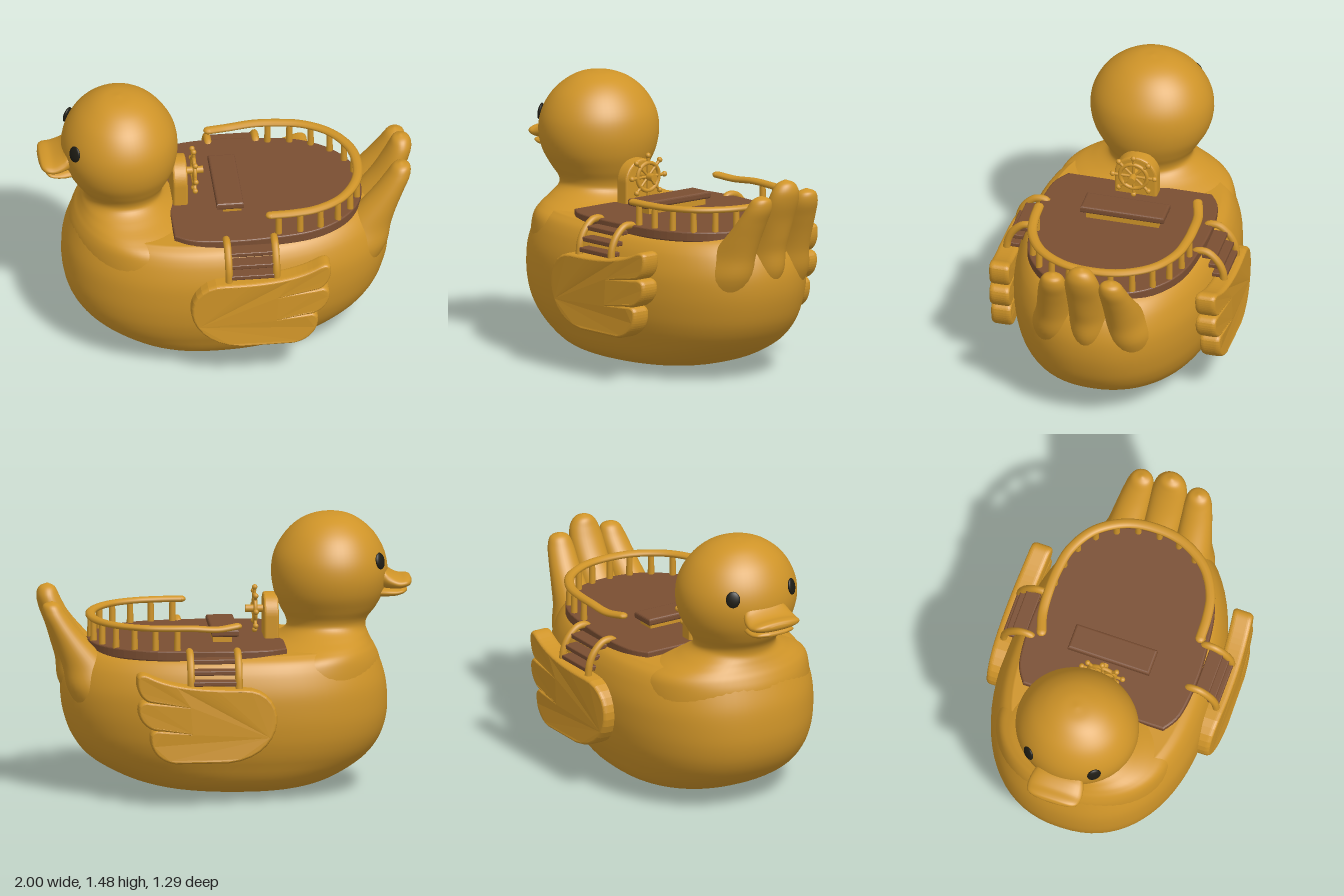
import * as THREE from 'three';

const mat = (name, color) => Object.assign(new THREE.MeshStandardMaterial({ color }), { name });
const V = (x, y, z) => new THREE.Vector3(x, y, z);

// Smooth closed loft; rings are [y, xMin, xMax, zRadius, zCentre] in rising y
function loft(rings, { n = 2, mid = 0.5, seg = 56, sub = 5 } = {}) {
  const a = new THREE.CatmullRomCurve3(rings.map(r => V(r[0], r[1], r[2])));
  const b = new THREE.CatmullRomCurve3(rings.map(r => V(r[3], r[4] || 0, 0)), false, 'catmullrom', 0.5);
  const rows = (rings.length - 1) * sub, pos = [], idx = [];
  const pw = v => Math.sign(v) * Math.pow(Math.abs(v), 2 / n);
  for (let i = 0; i <= rows; i++) {
    const p = a.getPoint(i / rows), q = b.getPoint(i / rows);
    const cx = p.y + (p.z - p.y) * mid;
    for (let j = 0; j < seg; j++) {
      const t = (j / seg) * Math.PI * 2, c = pw(Math.cos(t));
      pos.push(cx + c * (c > 0 ? p.z - cx : cx - p.y), p.x, q.y + pw(Math.sin(t)) * Math.max(q.x, 0.002));
    }
  }
  for (let i = 0; i < rows; i++) for (let j = 0; j < seg; j++) {
    const k = (j + 1) % seg, p = i * seg + j, q = i * seg + k;
    idx.push(p, p + seg, q, q, p + seg, q + seg);
  }
  // end caps
  for (const [row, up] of [[0, false], [rows, true]]) {
    const r = rings[up ? rings.length - 1 : 0], c = pos.length / 3;
    pos.push(r[1] + (r[2] - r[1]) * mid, r[0], r[4] || 0);
    for (let j = 0; j < seg; j++) {
      const p = row * seg + j, q = row * seg + (j + 1) % seg;
      idx.push(...(up ? [c, q, p] : [c, p, q]));
    }
  }
  const g = new THREE.BufferGeometry();
  g.setAttribute('position', new THREE.Float32BufferAttribute(pos, 3));
  g.setIndex(idx);
  g.computeVertexNormals();
  return g;
}

export function createModel() {
  const model = new THREE.Group();
  const gold = mat('gold', 0xcf9428), brown = mat('brown', 0x7a4e32), black = mat('black', 0x1e1c14);
  const add = (name, geo, m, x = 0, y = 0, z = 0, parent = model) => {
    const mesh = new THREE.Mesh(geo, m);
    mesh.name = name;
    mesh.position.set(x, y, z);
    parent.add(mesh);
    return mesh;
  };
  // Round bar with rounded ends
  const bar = (name, pts, r, parent = model, seg = 32) => {
    const curve = new THREE.CatmullRomCurve3(pts);
    const g = new THREE.Group();
    g.name = name;
    parent.add(g);
    add(name + 'Bar', new THREE.TubeGeometry(curve, seg, r, 10), gold, 0, 0, 0, g);
    for (const p of [pts[0], pts[pts.length - 1]])
      add(name + 'End', new THREE.SphereGeometry(r, 10, 8), gold, p.x, p.y, p.z, g);
    return curve;
  };

  // Hull
  add('body', loft([
    [0.003, -0.2, 0.1, 0.1], [0.02, -0.36, 0.27, 0.24], [0.05, -0.5, 0.42, 0.36], [0.1, -0.62, 0.56, 0.445],
    [0.2, -0.765, 0.73, 0.505], [0.3, -0.835, 0.81, 0.545], [0.4, -0.865, 0.85, 0.565], [0.5, -0.87, 0.87, 0.572],
    [0.6, -0.86, 0.868, 0.567], [0.7, -0.83, 0.835, 0.54], [0.76, -0.805, 0.79, 0.505], [0.795, -0.77, 0.74, 0.455],
  ], { n: 2.25, mid: 0.44, seg: 72 }), gold);

  // Chest, neck and head in one smooth form
  add('headAndNeck', loft([
    [0.6, -0.84, 0.05, 0.5], [0.7, -0.83, 0.0, 0.485], [0.76, -0.808, -0.1, 0.455], [0.8, -0.785, -0.22, 0.39],
    [0.84, -0.767, -0.3, 0.3], [0.88, -0.755, -0.335, 0.235], [0.92, -0.765, -0.33, 0.228], [0.98, -0.81, -0.3, 0.262],
    [1.07, -0.855, -0.266, 0.311], [1.17, -0.874, -0.253, 0.331], [1.27, -0.858, -0.268, 0.316],
    [1.37, -0.805, -0.325, 0.26], [1.44, -0.73, -0.4, 0.178], [1.475, -0.66, -0.48, 0.095], [1.486, -0.58, -0.56, 0.01],
  ], { seg: 64 }), gold);

  // Bill halves, lofted outwards from the face
  const bill = (name, rings) => add(name, loft(rings, { seg: 32, n: 2.2 }).rotateZ(Math.PI / 2), gold);
  bill('upperBill', [[0.78, 1.07, 1.24, 0.1], [0.84, 1.075, 1.215, 0.13], [0.88, 1.075, 1.175, 0.145],
    [0.93, 1.075, 1.147, 0.15], [0.97, 1.085, 1.145, 0.14], [0.99, 1.095, 1.14, 0.11], [1.0, 1.11, 1.125, 0.05]]);
  bill('lowerBill', [[0.78, 1.03, 1.09, 0.1], [0.86, 1.032, 1.09, 0.125], [0.92, 1.038, 1.085, 0.125],
    [0.955, 1.05, 1.085, 0.11], [0.975, 1.06, 1.075, 0.05]]);

  // Eyes lie flat on the head
  for (const s of [1, -1]) {
    const eye = add('eye', new THREE.SphereGeometry(0.045, 20, 14).scale(0.85, 1, 0.3), black, -0.822, 1.25, s * 0.185);
    eye.lookAt(-0.822 - 0.25, 1.25 + 0.06, s * 0.37);
  }

  // Tail feathers
  const feather = (rings) => add('tailFeather', loft(rings, { seg: 32 }), gold);
  feather([[0.45, 0.5, 0.8, 0.08], [0.6, 0.55, 0.885, 0.11], [0.72, 0.64, 0.9, 0.105], [0.8, 0.71, 0.923, 0.1],
    [0.9, 0.79, 0.953, 0.098], [1.0, 0.85, 0.99, 0.094], [1.06, 0.88, 1.0, 0.08], [1.1, 0.9, 0.987, 0.052], [1.12, 0.935, 0.95, 0.008]]);
  for (const s of [1, -1]) feather([
    [0.4, 0.4, 0.74, 0.12, 0.2 * s], [0.58, 0.5, 0.845, 0.13, 0.2 * s], [0.7, 0.6, 0.872, 0.105, 0.19 * s],
    [0.8, 0.7, 0.905, 0.092, 0.182 * s], [0.9, 0.79, 0.945, 0.082, 0.172 * s], [0.98, 0.85, 0.977, 0.072, 0.163 * s],
    [1.03, 0.885, 0.975, 0.052, 0.16 * s], [1.05, 0.92, 0.935, 0.008, 0.16 * s]]);

  // Deck
  const half = [[-0.3, 0.39], [-0.2, 0.445], [0, 0.465], [0.2, 0.455], [0.42, 0.42], [0.58, 0.33], [0.685, 0.19]];
  const rim = [...half, [0.72, 0], ...half.map(([x, z]) => [x, -z]).reverse()].map(p => new THREE.Vector2(...p));
  add('deck', new THREE.ExtrudeGeometry(new THREE.Shape(new THREE.SplineCurve(rim).getPoints(70)), {
    depth: 0.04, bevelSize: 0.01, bevelThickness: 0.008, bevelSegments: 3,
  }).rotateX(-Math.PI / 2), brown, 0, 0.778, 0);

  // Handrail and posts
  const side = [[0.2, 0.425], [0.32, 0.42], [0.45, 0.395], [0.59, 0.31], [0.685, 0.16]];
  const railPts = [V(-0.045, 0.945, -0.385), V(0.06, 0.934, -0.415), ...side.map(([x, z]) => V(x, 0.943, -z)),
    V(0.71, 0.943, 0), ...side.map(([x, z]) => V(x, 0.943, z)).reverse()];
  const railCurve = new THREE.CatmullRomCurve3(railPts);
  const flat = 0.65;
  bar('handrail', railPts.map(p => V(p.x, p.y / flat, p.z)), 0.027, model, 96);
  model.getObjectByName('handrail').scale.y = flat;
  for (let i = 0; i < 13; i++) {
    const p = railCurve.getPointAt(0.185 + (i / 12) * 0.79);
    add('railPost', new THREE.CylinderGeometry(0.016, 0.018, 0.13, 12), gold, p.x, 0.88, p.z);
  }

  // Bench
  const slab = (w, h, d, b) => {
    const s = new THREE.Shape();
    const x = w / 2 - b, y = d / 2 - b;
    s.moveTo(-x, -y).lineTo(x, -y).lineTo(x, y).lineTo(-x, y);
    return new THREE.ExtrudeGeometry(s, { depth: h - 2 * b, bevelSize: b, bevelThickness: b, bevelSegments: 3 })
      .translate(0, 0, b - h / 2).rotateX(-Math.PI / 2);
  };
  add('benchSeat', slab(0.145, 0.04, 0.46, 0.012), brown, 0.007, 0.876, 0);
  add('benchBase', slab(0.1, 0.05, 0.4, 0.008), gold, 0.02, 0.84, 0);

  // Helm stand with arched top
  const arch = new THREE.Shape();
  arch.moveTo(-0.105, 0).lineTo(0.105, 0).lineTo(0.105, 0.135).absarc(0, 0.135, 0.105, 0, Math.PI);
  add('helmStand', new THREE.ExtrudeGeometry(arch, {
    depth: 0.055, bevelSize: 0.012, bevelThickness: 0.012, bevelSegments: 3, curveSegments: 24,
  }).rotateY(Math.PI / 2), gold, -0.275, 0.805, 0);

  // Steering wheel
  const wheel = new THREE.Group();
  wheel.name = 'steeringWheel';
  wheel.position.set(-0.165, 0.968, 0);
  model.add(wheel);
  add('wheelRing', new THREE.TorusGeometry(0.075, 0.011, 10, 36).rotateY(Math.PI / 2), gold, 0, 0, 0, wheel);
  add('wheelHub', new THREE.CylinderGeometry(0.02, 0.02, 0.1, 16).rotateZ(Math.PI / 2), gold, 0, 0, 0, wheel);
  for (let i = 0; i < 8; i++) {
    const a = (i / 8) * Math.PI * 2, c = Math.cos(a), s = Math.sin(a);
    const spoke = add('wheelSpoke', new THREE.CylinderGeometry(0.009, 0.007, 0.11, 8), gold, 0, c * 0.055, s * 0.055, wheel);
    spoke.rotation.x = a;
    add('wheelHandle', new THREE.SphereGeometry(0.015, 10, 8), gold, 0, c * 0.115, s * 0.115, wheel);
  }

  // Wing outline with three feather tips
  const wing = new THREE.Shape();
  wing.moveTo(-0.06, 0.635).bezierCurveTo(-0.3, 0.64, -0.3, 0.29, 0.02, 0.262).lineTo(0.3, 0.26)
    .bezierCurveTo(0.38, 0.27, 0.43, 0.33, 0.42, 0.4).quadraticCurveTo(0.41, 0.423, 0.37, 0.415)
    .lineTo(0.21, 0.407).lineTo(0.21, 0.414).lineTo(0.37, 0.438)
    .bezierCurveTo(0.44, 0.43, 0.5, 0.5, 0.482, 0.555).quadraticCurveTo(0.47, 0.578, 0.43, 0.568)
    .lineTo(0.22, 0.55).lineTo(0.22, 0.557).lineTo(0.43, 0.592)
    .bezierCurveTo(0.475, 0.6, 0.5, 0.66, 0.49, 0.71).quadraticCurveTo(0.48, 0.728, 0.44, 0.71)
    .bezierCurveTo(0.32, 0.65, 0.15, 0.638, -0.06, 0.635);
  const wingGeo = new THREE.ExtrudeGeometry(wing, {
    depth: 0.06, bevelSize: 0.014, bevelThickness: 0.025, bevelSegments: 5, curveSegments: 14,
  }).translate(0, 0, 0.56);
  const wingPos = wingGeo.attributes.position;
  for (let i = 0; i < wingPos.count; i++) // slight sweep along the hull
    wingPos.setZ(i, wingPos.getZ(i) - 0.15 * (wingPos.getX(i) - 0.1) ** 2);
  wingGeo.computeVertexNormals();
  add('leftWing', wingGeo, gold);
  add('rightWing', wingGeo, gold).rotation.y = Math.PI;
  const right = model.getObjectByName('rightWing');
  right.geometry = wingGeo.clone().scale(-1, 1, 1);
  const order = right.geometry.attributes.position; // restore facing after mirroring
  for (const at of [order, right.geometry.attributes.normal]) for (let i = 0; i < at.count; i += 3) {
    const p = [at.getX(i), at.getY(i), at.getZ(i)];
    at.setXYZ(i, at.getX(i + 1), at.getY(i + 1), at.getZ(i + 1));
    at.setXYZ(i + 1, ...p);
  }
  right.geometry.computeVertexNormals();

  // Boarding ladders on both sides
  for (const s of [1, -1]) {
    const ladder = new THREE.Group();
    ladder.name = 'ladder';
    model.add(ladder);
    for (const x of [-0.04, 0.215]) bar('ladderRail', [[0.43, 0.8], [0.45, 0.822], [0.505, 0.822],
      [0.56, 0.775], [0.59, 0.715], [0.6, 0.64]].map(([z, y]) => V(x, y, s * z)), 0.02, ladder);
    for (const [y, z] of [[0.785, 0.515], [0.73, 0.55], [0.675, 0.57]])
      add('ladderStep', slab(0.24, 0.026, 0.08, 0.006), brown, 0.088, y, s * z, ladder);
  }
  return model;
}
